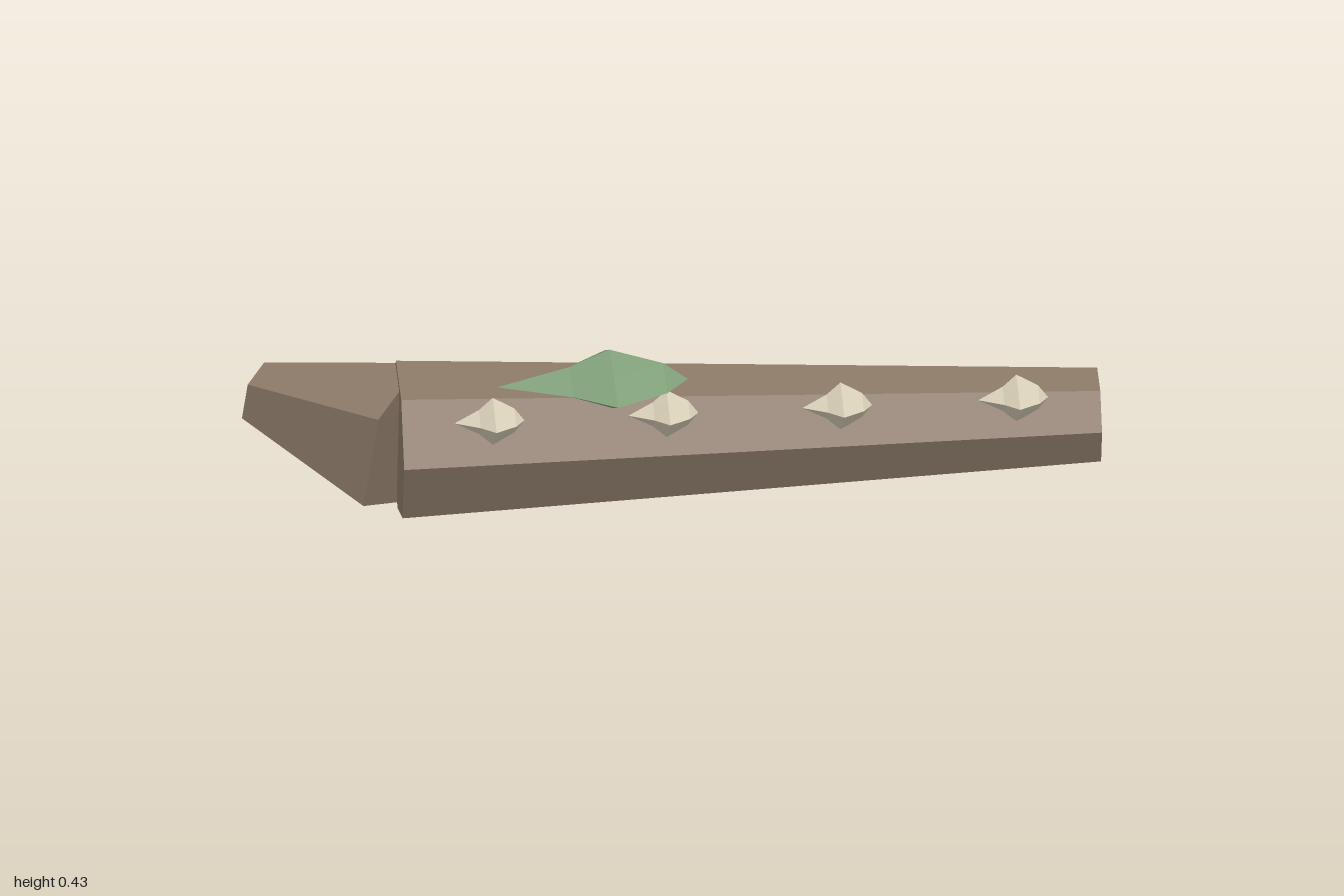
import * as THREE from 'three';

const V = (x, y, z) => new THREE.Vector3(x, y, z);
const material = (color) => new THREE.MeshStandardMaterial({ color, flatShading: true });

// Tapered prism between two points, with one corner facing the given direction
function taperedLimb(name, from, to, rFrom, rTo, sides, corner, mat) {
  const axis = to.clone().sub(from);
  const geo = new THREE.CylinderGeometry(rTo, rFrom, axis.length(), sides);
  const up = axis.clone().normalize();
  const side = up.clone().cross(corner).normalize();
  const forward = side.clone().cross(up);
  geo.applyMatrix4(new THREE.Matrix4().makeBasis(side, up, forward));
  const mesh = new THREE.Mesh(geo, mat);
  mesh.position.copy(from).add(to).multiplyScalar(0.5);
  mesh.name = name;
  return mesh;
}

// Faceted star-like lump: pointed along the axes, pulled in between them
function lump(name, neg, pos, mat) {
  const geo = new THREE.OctahedronGeometry(1, 1);
  const p = geo.attributes.position;
  const pull = { x: [0.36, 0.68], y: [0.5, 0.52], z: [0.52, 0.52] };
  const fit = (c, key) => {
    if (Math.abs(c) < 1e-4) return 0;
    const k = Math.abs(c) > 0.9 ? 1 : pull[key][c > 0 ? 1 : 0];
    return c > 0 ? k * pos[key] : -k * neg[key];
  };
  for (let i = 0; i < p.count; i++) {
    p.setXYZ(i, fit(p.getX(i), 'x'), fit(p.getY(i), 'y'), fit(p.getZ(i), 'z'));
  }
  geo.computeVertexNormals();
  const mesh = new THREE.Mesh(geo, mat);
  mesh.name = name;
  return mesh;
}

export function createModel() {
  const group = new THREE.Group();
  group.name = 'fallenLog';
  const bark = material(0x8a7866);
  const moss = material(0x7f9f78);
  const cream = material(0xd6cdb6);

  // Trunk lying along x, and the broken stub angled off its thick end
  const root = V(-0.652, 0.188, -0.004);
  group.add(taperedLimb('trunk', root, V(0.99, 0.205, 0.075), 0.19, 0.113, 7, V(0, 0, 1), bark));
  group.add(taperedLimb('brokenStub', root, V(-0.965, 0.251, -0.194), 0.192, 0.075, 5, V(0.54, 0, -0.84), bark));

  // Moss patch on top
  const patch = lump('mossPatch', V(0.265, 0.063, 0.19), V(0.185, 0.082, 0.168), moss);
  patch.position.set(-0.165, 0.348, 0.09);
  group.add(patch);

  // Row of small mushrooms along the front
  [-0.45, -0.04, 0.37, 0.785].forEach((x, i) => {
    const cap = lump('mushroom' + (i + 1), V(0.09, 0.058, 0.05), V(0.075, 0.06, 0.075), cream);
    cap.position.set(x, 0.292, 0.167);
    group.add(cap);
  });
  return group;
}
